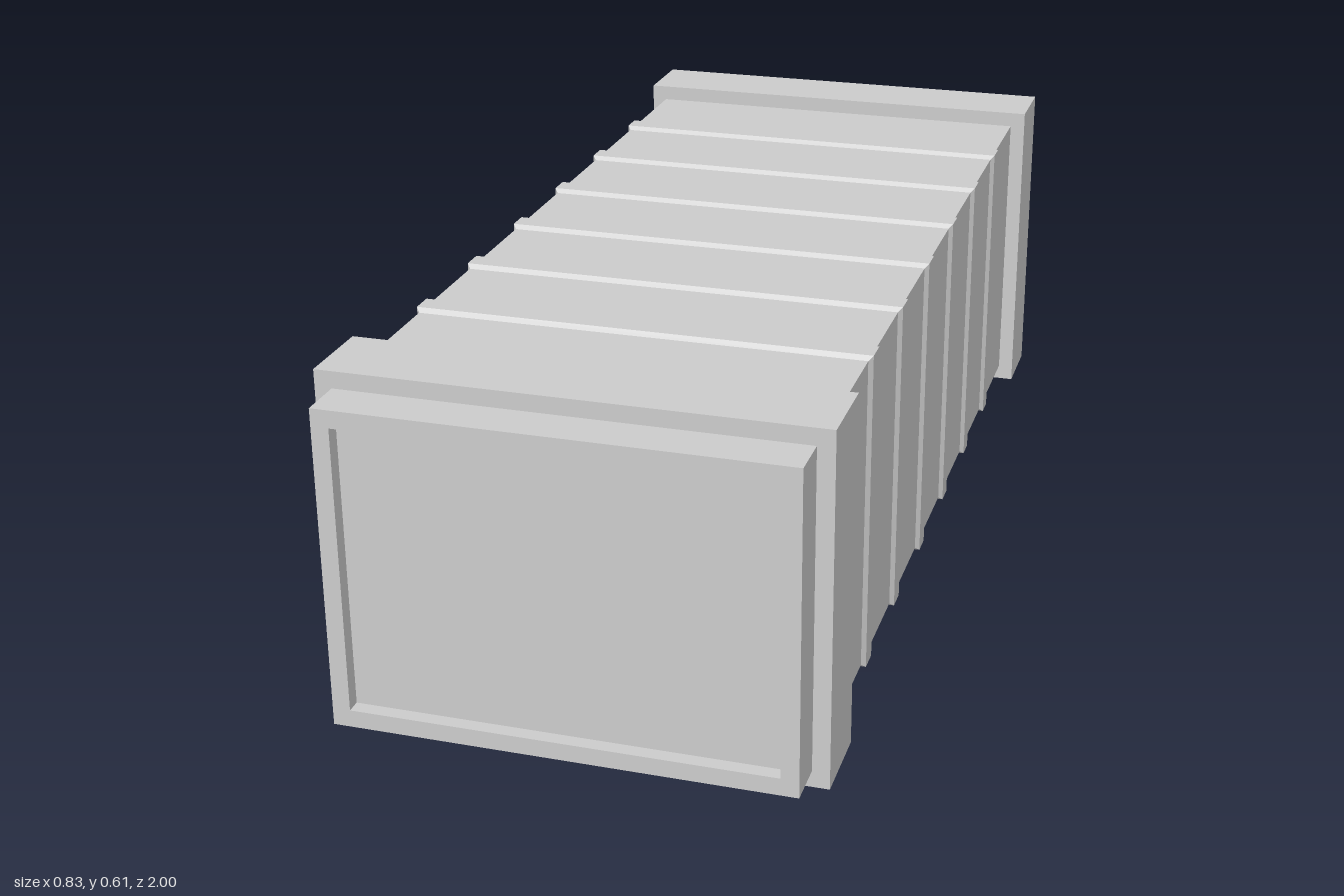
import * as THREE from 'three';

const HALF_W = 0.386, HALF_H = 0.277, MID_Y = 0.307;
const material = new THREE.MeshStandardMaterial({ color: 0xcccccc, flatShading: true });

// Skin rectangular rings: each section is [z, outset from the duct wall], running from +z to -z
function rectLoft(name, sections, capped = false) {
  const positions = [];
  const corners = sections.map(([z, out]) => {
    const w = HALF_W + out, h = HALF_H + out;
    return [[w, h, z], [-w, h, z], [-w, -h, z], [w, -h, z]];
  });
  const quad = (a, b, c, d) => positions.push(...a, ...b, ...c, ...a, ...c, ...d);
  for (let i = 0; i < corners.length - 1; i++) {
    const a = corners[i], b = corners[i + 1];
    for (let k = 0; k < 4; k++) {
      const n = (k + 1) % 4;
      quad(a[k], b[k], b[n], a[n]);
    }
  }
  if (capped) {
    const a = corners[0], b = corners[corners.length - 1];
    quad(a[0], a[1], a[2], a[3]);
    quad(b[3], b[2], b[1], b[0]);
  }
  const geometry = new THREE.BufferGeometry();
  geometry.setAttribute('position', new THREE.Float32BufferAttribute(positions, 3));
  geometry.computeVertexNormals();
  const mesh = new THREE.Mesh(geometry, material);
  mesh.name = name;
  mesh.position.y = MID_Y;
  return mesh;
}

export function createModel() {
  const group = new THREE.Group();
  group.name = 'rectangularDuct';

  // Long duct with a shallow recessed panel inside the rim at each end
  const rim = -0.03, depth = 0.025;
  group.add(rectLoft('ductBody', [
    [1 - depth, rim], [1, rim], [1, 0], [-1, 0], [-1, rim], [-1 + depth, rim],
  ], true));

  // Thick collars near both ends
  for (const [name, z] of [['frontCollar', 0.85], ['backCollar', -0.85]]) {
    group.add(rectLoft(name, [
      [z + 0.071, 0], [z + 0.071, 0.029], [z - 0.071, 0.029], [z - 0.071, 0],
    ]));
  }

  // Six low bevelled stiffening ribs
  for (let i = 0; i < 6; i++) {
    const z = (i - 2.5) * 0.223;
    group.add(rectLoft('rib' + (i + 1), [
      [z + 0.028, 0], [z + 0.02, 0.007], [z - 0.02, 0.007], [z - 0.028, 0],
    ]));
  }
  return group;
}
